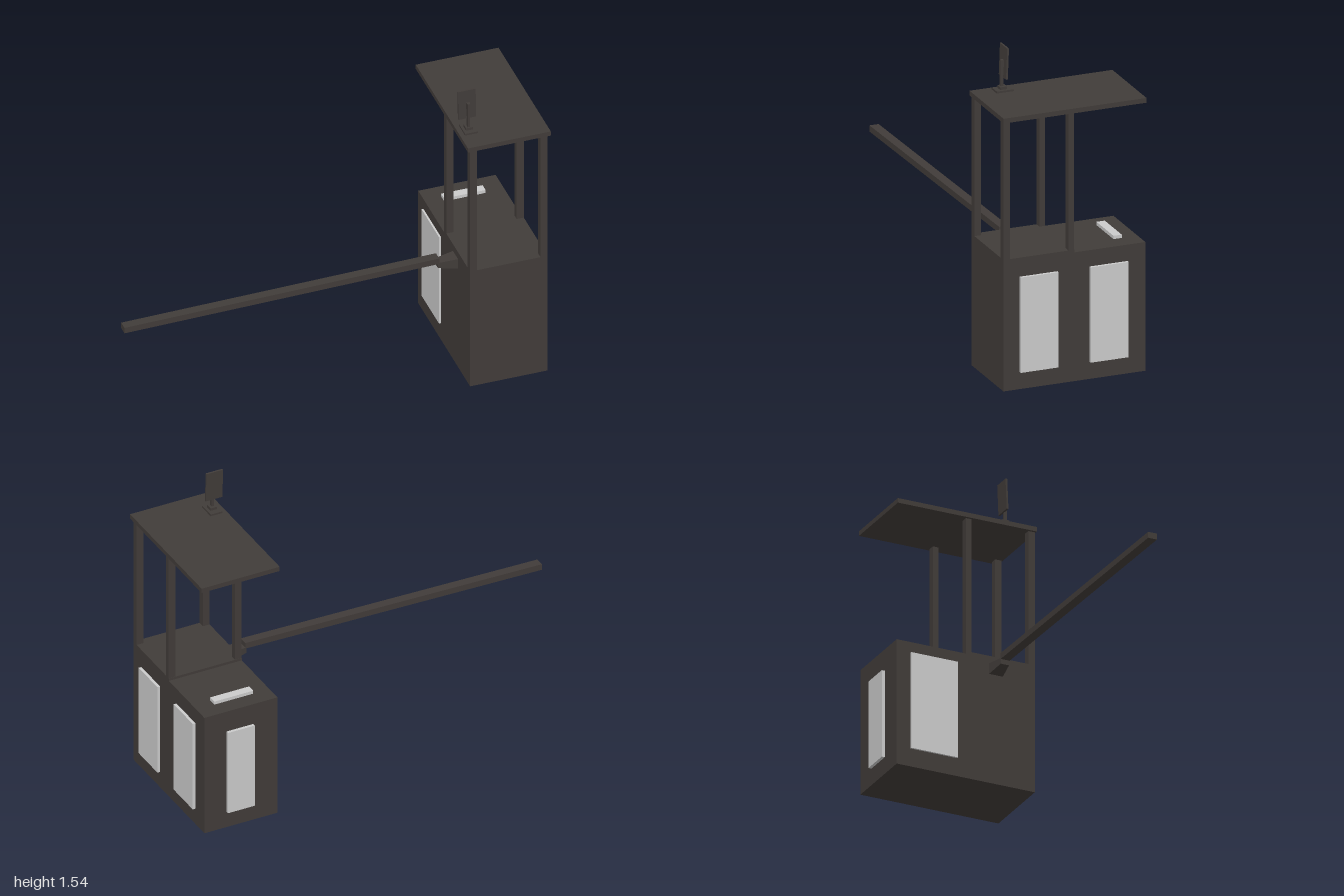
import * as THREE from 'three';

const dark = new THREE.MeshStandardMaterial({ color: 0x413c39 });
const grey = new THREE.MeshStandardMaterial({ color: 0xcccccc });

export function createModel() {
  const model = new THREE.Group();

  const add = (name, geometry, material = dark) => {
    const mesh = new THREE.Mesh(geometry, material);
    mesh.name = name;
    model.add(mesh);
    return mesh;
  };

  // Box given by its [min, max] extent on each axis
  const box = (name, [x0, x1], [y0, y1], [z0, z1], material) => {
    const mesh = add(name, new THREE.BoxGeometry(x1 - x0, y1 - y0, z1 - z0), material);
    mesh.position.set((x0 + x1) / 2, (y0 + y1) / 2, (z0 + z1) / 2);
    return mesh;
  };

  // Booth: slightly taller cab floor in front, equipment housing behind
  box('cabBase', [0.607, 0.981], [0, 0.637], [0.005, 0.355]);
  box('rearHousing', [0.607, 0.981], [0, 0.624], [-0.345, 0.005]);

  // Raised panels on the sides and back
  box('frontSidePanel', [0.96, 0.995], [0.083, 0.545], [0.09, 0.275], grey);
  box('rearSidePanel', [0.96, 0.995], [0.083, 0.545], [-0.257, -0.07], grey);
  box('armSidePanel', [0.598, 0.63], [0.09, 0.57], [-0.275, -0.04], grey);
  box('backPanel', [0.73, 0.867], [0.083, 0.517], [-0.36, -0.33], grey);
  box('topHandle', [0.69, 0.89], [0.61, 0.64], [-0.267, -0.226], grey);

  // Four posts carrying the roof
  for (const x of [[0.607, 0.641], [0.947, 0.981]]) {
    for (const z of [[0.322, 0.355], [0.006, 0.034]]) {
      box('roofPost', x, [0.63, 1.31], z);
    }
  }
  box('roof', [0.595, 0.995], [1.304, 1.327], [-0.345, 0.36]);

  // Small sign on a stand
  box('signFoot', [0.617, 0.678], [1.325, 1.336], [0.175, 0.26]);
  box('signCollar', [0.63, 0.664], [1.335, 1.349], [0.203, 0.237]);
  box('signStem', [0.64, 0.652], [1.34, 1.475], [0.216, 0.231]);
  box('signBracket', [0.638, 0.654], [1.44, 1.475], [0.208, 0.224]);
  const plate = box('signPlate', [0.6, 0.685], [1.39, 1.54], [0.206, 0.215]);
  plate.rotation.x = -0.04;

  // Barrier arm, sloping gently down to its free end
  const profile = new THREE.Shape([
    [-1, 0.56], [0.52, 0.586], [0.52, 0.616], [-1, 0.59],
  ].map(([x, y]) => new THREE.Vector2(x, y)));
  const arm = new THREE.ExtrudeGeometry(profile, { depth: 0.045, bevelEnabled: false });
  arm.translate(0, 0, 0.137);
  add('barrierArm', arm);

  // Flared bracket joining arm and booth: widen a box towards the booth
  const flare = new THREE.BoxGeometry(1, 1, 1);
  const p = flare.attributes.position;
  for (let i = 0; i < p.count; i++) {
    const booth = p.getX(i) > 0, top = p.getY(i) > 0, near = p.getZ(i) > 0;
    const y = booth ? (top ? 0.6 : 0.545) : (top ? 0.59 : 0.562);
    p.setXYZ(i, booth ? 0.615 : 0.515, y, 0.158 + (near ? 1 : -1) * (booth ? 0.036 : 0.021));
  }
  const bracket = flare.toNonIndexed();
  bracket.computeVertexNormals();
  add('armBracket', bracket);

  return model;
}
